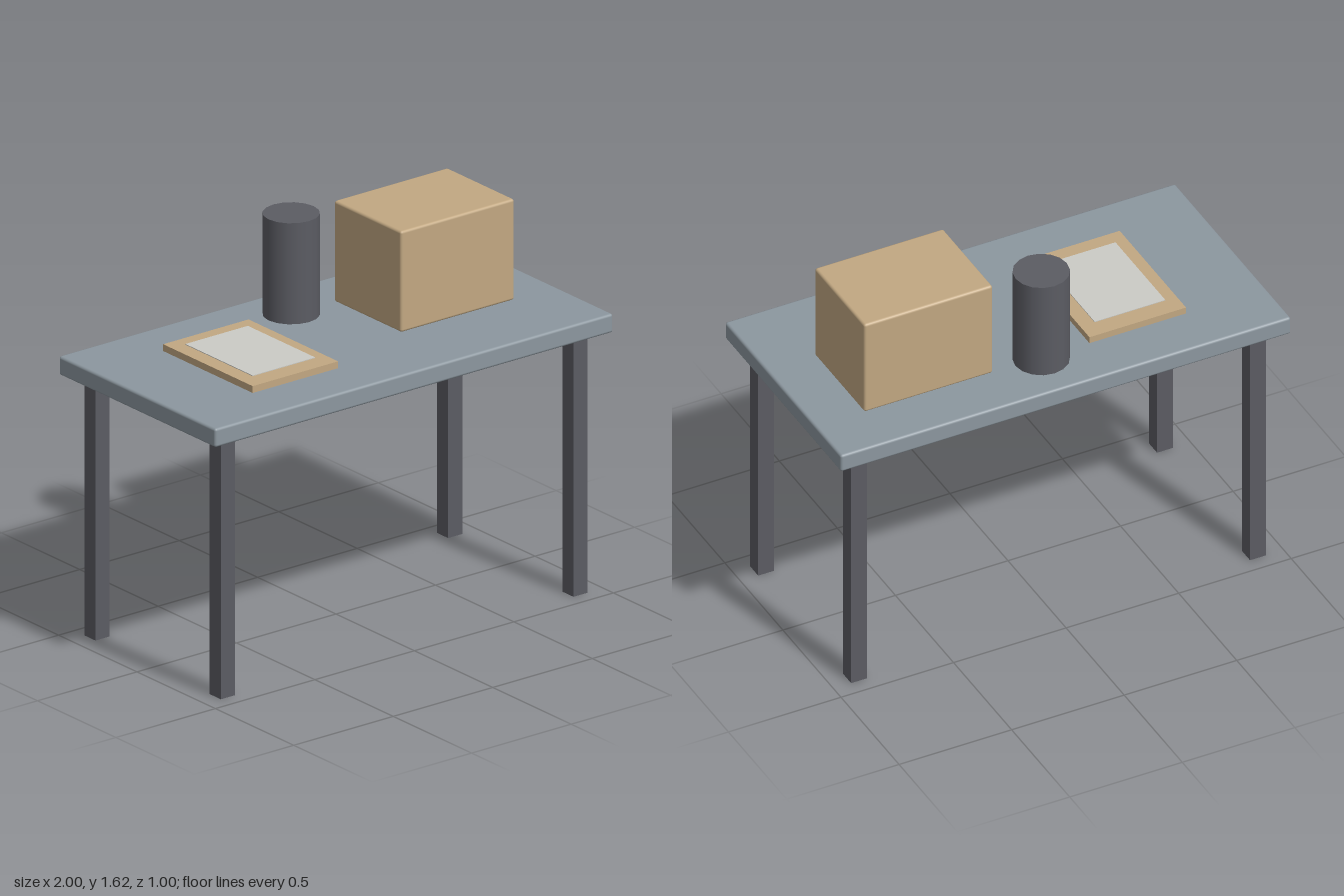
import * as THREE from 'three';
import { RoundedBoxGeometry } from 'three/addons/geometries/RoundedBoxGeometry.js';

const material = (name, color) => {
  const m = new THREE.MeshStandardMaterial({ color });
  m.name = name;
  return m;
};

export function createModel() {
  const group = new THREE.Group();
  const slate = material('slate', 0x8c979f);
  const charcoal = material('charcoal', 0x5b5c63);
  const cardboard = material('cardboard', 0xc2a882);
  const paper = material('paper', 0xcbcbc6);

  const add = (name, geometry, mat, x, y, z) => {
    const mesh = new THREE.Mesh(geometry, mat);
    mesh.name = name;
    mesh.position.set(x, y, z);
    group.add(mesh);
    return mesh;
  };

  const top = 1.186; // height of the table surface

  // Table: softly rounded slab on four square legs
  add('tableTop', new RoundedBoxGeometry(2, 0.08, 1, 2, 0.011), slate, 0, top - 0.04, 0);
  const legHeight = 1.107;
  const legGeometry = new THREE.BoxGeometry(0.071, legHeight, 0.071);
  for (const [xName, x] of [['Left', 0.886], ['Right', -0.886]]) {
    for (const [zName, z] of [['front', 0.4], ['back', -0.4]]) {
      add(`${zName}${xName}Leg`, legGeometry, charcoal, x, legHeight / 2, z);
    }
  }

  // Carton
  add('carton', new RoundedBoxGeometry(0.571, 0.429, 0.429, 2, 0.011), cardboard, 0.5, top + 0.2145, -0.0714);

  // Canister
  add('canister', new THREE.CylinderGeometry(0.114, 0.114, 0.429, 16), charcoal, 0, top + 0.2145, -0.286);

  // Board with a sheet resting just above it
  add('board', new THREE.BoxGeometry(0.429, 0.029, 0.571), cardboard, -0.429, top + 0.0145, 0);
  add('sheet', new THREE.BoxGeometry(0.314, 0.003, 0.429), paper, -0.431, 1.223, 0);

  return group;
}
